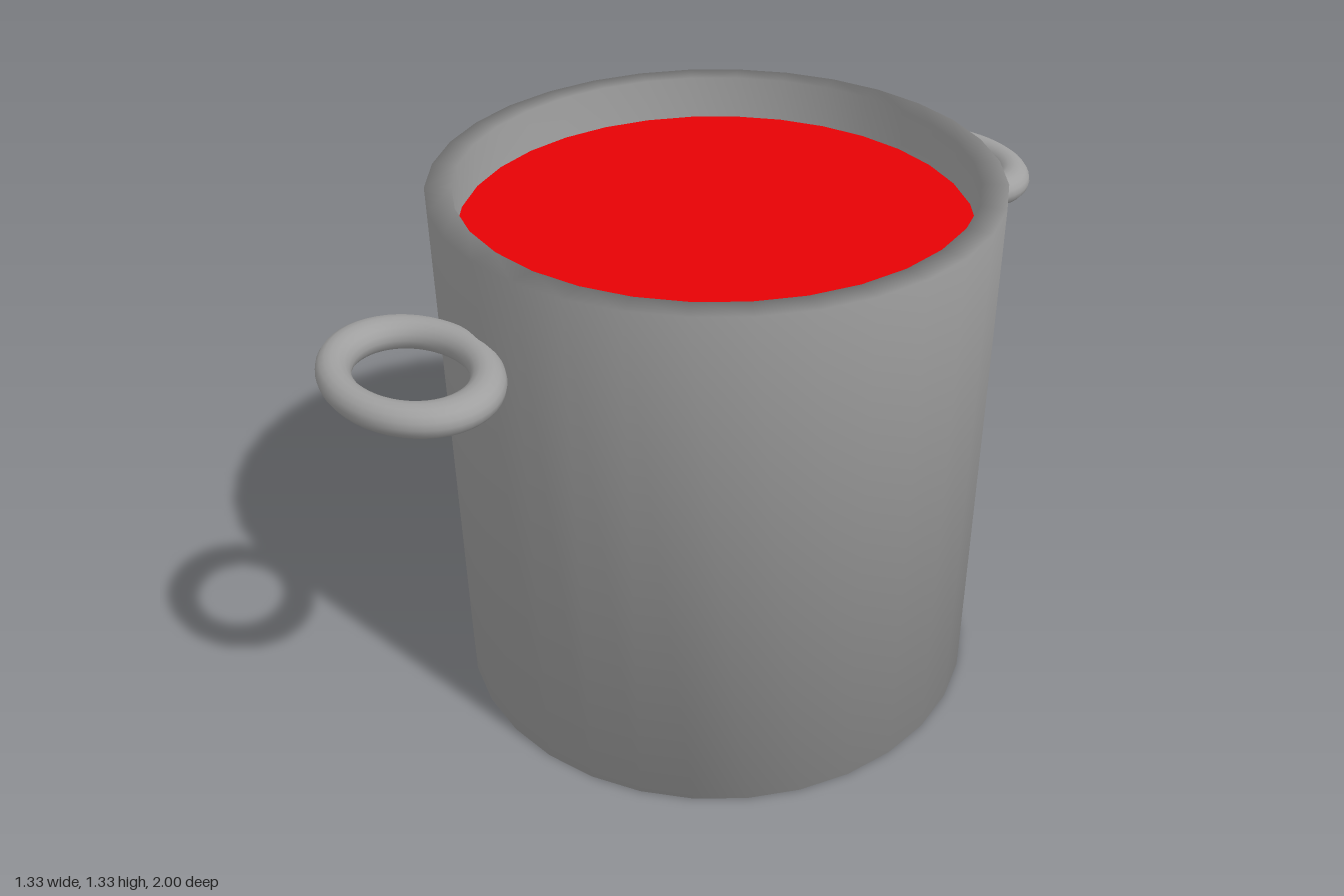
import * as THREE from 'three';

const SIDES = 32;
const RADIUS = 0.663, INNER = 0.602, HEIGHT = 1.327;

export function createModel() {
  const model = new THREE.Group();
  model.name = 'cookingPot';
  const metal = new THREE.MeshStandardMaterial({ color: 0xa0a0a0 });
  const red = new THREE.MeshStandardMaterial({ color: 0xe60205 });

  const add = (name, geometry, material) => {
    const mesh = new THREE.Mesh(geometry, material);
    mesh.name = name;
    model.add(mesh);
    return mesh;
  };

  // Thick-walled pot, shaded smoothly over its edges:
  // underside, outer wall, flat rim, inner wall, floor
  const profile = [
    [0, 0], [RADIUS, 0], [RADIUS, HEIGHT], [INNER, HEIGHT], [INNER, 0.06], [0, 0.06],
  ].map(([r, y]) => new THREE.Vector2(r, y));
  add('pot', new THREE.LatheGeometry(profile, SIDES), metal);

  // Soup surface just below the rim
  const soup = new THREE.CircleGeometry(INNER, SIDES).rotateX(-Math.PI / 2);
  add('soup', soup, red).position.y = 1.22;

  // Oval ring handles at front and back, slightly off centre
  const ring = new THREE.TorusGeometry(0.194, 0.046, 16, 48)
    .rotateX(Math.PI / 2)
    .scale(1, 0.8, 0.76);
  for (const [name, side] of [['frontHandle', 1], ['backHandle', -1]]) {
    add(name, ring, metal).position.set(-0.024, 1.105, side * 0.818);
  }

  return model;
}
